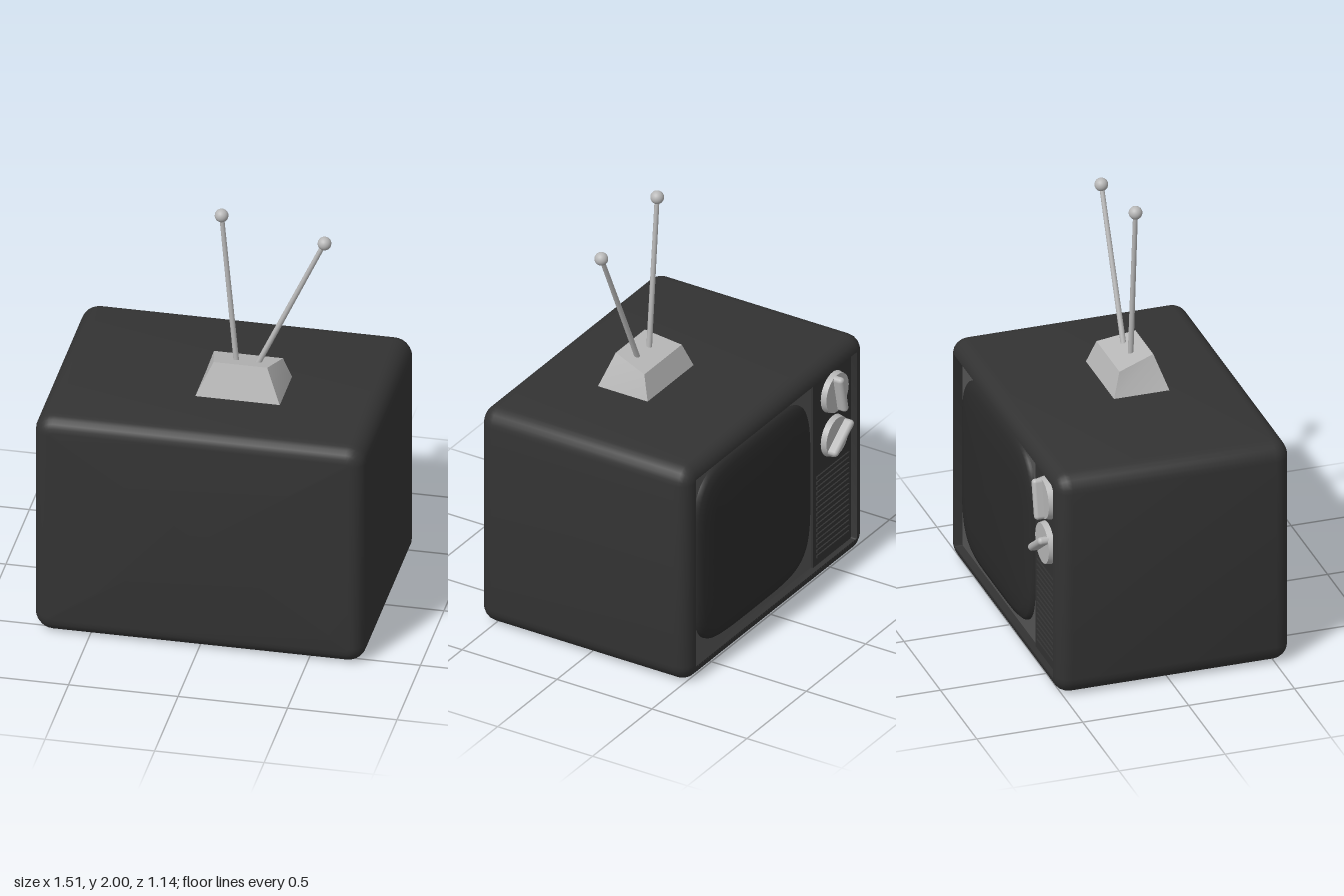
import * as THREE from 'three';
import { toCreasedNormals } from 'three/addons/utils/BufferGeometryUtils.js';
import { RoundedBoxGeometry } from 'three/addons/geometries/RoundedBoxGeometry.js';

const material = (name, color) => {
  const m = new THREE.MeshStandardMaterial({ color });
  m.name = name;
  return m;
};

// Skin a list of loops (counter-clockwise seen from the first end), with optional end caps.
function loft(loops, capStart, capEnd, crease = 0.6) {
  const pos = [];
  const tri = (...p) => p.forEach((v) => pos.push(v.x, v.y, v.z));
  const centre = (l) => l.reduce((s, v) => s.add(v), new THREE.Vector3()).divideScalar(l.length);
  const first = loops[0], last = loops[loops.length - 1], n = first.length;
  const c0 = centre(first), c1 = centre(last);
  for (let i = 0; i < n; i++) {
    const j = (i + 1) % n;
    for (let k = 0; k < loops.length - 1; k++) {
      const a = loops[k], b = loops[k + 1];
      tri(a[i], b[i], a[j]);
      tri(a[j], b[i], b[j]);
    }
    if (capStart) tri(c0, first[i], first[j]);
    if (capEnd) tri(c1, last[j], last[i]);
  }
  const g = new THREE.BufferGeometry();
  g.setAttribute('position', new THREE.Float32BufferAttribute(pos, 3));
  return toCreasedNormals(g, crease);
}

// Rounded rectangle around (0, 0.55) at depth z.
function roundedLoop(hw, hh, r, z) {
  const pts = [], seg = 6;
  [[1, 1], [-1, 1], [-1, -1], [1, -1]].forEach(([sx, sy], q) => {
    for (let i = 0; i <= seg; i++) {
      const a = (q + i / seg) * Math.PI / 2;
      pts.push(new THREE.Vector3(
        sx * (hw - r) + r * Math.cos(a), 0.55 + sy * (hh - r) + r * Math.sin(a), z));
    }
  });
  return pts;
}

// Cushion-shaped outline of the picture tube.
function tubeLoop(t, z) {
  const pts = [], n = 64, e = 2 / 4.8;
  const pw = (v) => Math.sign(v) * Math.abs(v) ** e;
  for (let i = 0; i < n; i++) {
    const a = (i / n) * Math.PI * 2;
    pts.push(new THREE.Vector3(
      0.155 + 0.485 * t * pw(Math.cos(a)), 0.55 + 0.45 * t * pw(Math.sin(a)), z));
  }
  return pts;
}

export function createModel() {
  const model = new THREE.Group();
  model.name = 'television';
  const black = material('cabinet black', 0x333333);
  const glass = material('screen dark', 0x2b2b2b);
  const grey = material('bezel grey', 0x555555);
  const silver = material('silver', 0xb8b8b8);

  const add = (name, geometry, mat, x = 0, y = 0, z = 0, parent = model) => {
    const mesh = new THREE.Mesh(geometry, mat);
    mesh.name = name;
    mesh.position.set(x, y, z);
    parent.add(mesh);
    return mesh;
  };

  // Cabinet shell: rounded plain end, sides, rounded screen end, then the recess
  const W = 0.755, H = 0.55, R = 0.07, steps = 5, loops = [];
  for (let end = 0; end < 2; end++) {
    for (let i = 0; i <= steps; i++) {
      const a = ((end ? i : steps - i) / steps) * Math.PI / 2;
      const inset = R * (1 - Math.cos(a));
      const z = end ? -0.46 - R * Math.sin(a) : 0.5 + R * Math.sin(a);
      loops.push(roundedLoop(W - inset, H - inset, 0.085 - inset, z));
    }
  }
  loops.push(roundedLoop(0.677, 0.485, 0.01, -0.53), roundedLoop(0.677, 0.485, 0.01, -0.485));
  add('cabinet', loft(loops, true, false), black);

  // Recessed face: bezel around the tube and the control panel beside it
  add('screenBezel', new THREE.BoxGeometry(1.04, 0.975, 0.02), grey, 0.16, 0.55, -0.48);
  add('controlPanel', new THREE.BoxGeometry(0.325, 0.975, 0.03), black, -0.517, 0.55, -0.485);

  // Bulging screen
  const profile = [[1, -0.485], [0.995, -0.5], [0.97, -0.512], [0.9, -0.522],
    [0.75, -0.529], [0.5, -0.534], [0.25, -0.536], [0.02, -0.537]];
  add('screen', loft(profile.map(([t, z]) => tubeLoop(t, z)), false, true, 0.9), glass);

  // Speaker grille slats
  const grille = new THREE.Group();
  grille.name = 'speakerGrille';
  model.add(grille);
  for (let i = 0; i < 16; i++) {
    add('grilleSlat', new THREE.BoxGeometry(0.27, 0.014, 0.008), black,
      -0.517, 0.11 + i * 0.027, -0.503, grille);
  }

  // Two dials, each a disc with a raised grip bar
  [[0.895, 1.36], [0.67, -0.62]].forEach(([y, angle]) => {
    const dial = new THREE.Group();
    dial.name = 'dial';
    dial.position.set(-0.52, y, 0);
    model.add(dial);
    add('dialDisc', new THREE.CylinderGeometry(0.1, 0.094, 0.03, 32), silver, 0, 0, -0.512, dial)
      .rotation.x = Math.PI / 2;
    add('dialGrip', new RoundedBoxGeometry(0.19, 0.036, 0.066, 4, 0.017), silver, 0, 0, -0.537, dial)
      .rotation.z = angle;
  });

  // Antenna base: tapered block with a sloping top
  const quad = (xa, xb, za, ya, xc, xd, zb, yb) => [
    new THREE.Vector3(xb, ya, za), new THREE.Vector3(xa, ya, za),
    new THREE.Vector3(xc, yb, zb), new THREE.Vector3(xd, yb, zb)];
  add('antennaBase', loft([
    quad(-0.05, 0.265, 0.0, 1.212, -0.015, 0.23, 0.172, 1.255),
    quad(-0.09, 0.3, -0.04, 1.095, -0.09, 0.3, 0.225, 1.095),
  ], true, true, 0.2), silver);

  // Antenna rods with ball tips
  [[0.075, 1.2, 0.005, 1.97], [0.158, 1.2, 0.475, 1.882]].forEach(([x0, y0, x1, y1]) => {
    const dx = x1 - x0, dy = y1 - y0;
    add('antennaRod', new THREE.CylinderGeometry(0.011, 0.013, Math.hypot(dx, dy), 12), silver,
      (x0 + x1) / 2, (y0 + y1) / 2, 0.095).rotation.z = -Math.atan2(dx, dy);
    add('antennaTip', new THREE.SphereGeometry(0.031, 20, 14), silver, x1, y1 - 0.001, 0.095);
  });

  return model;
}
